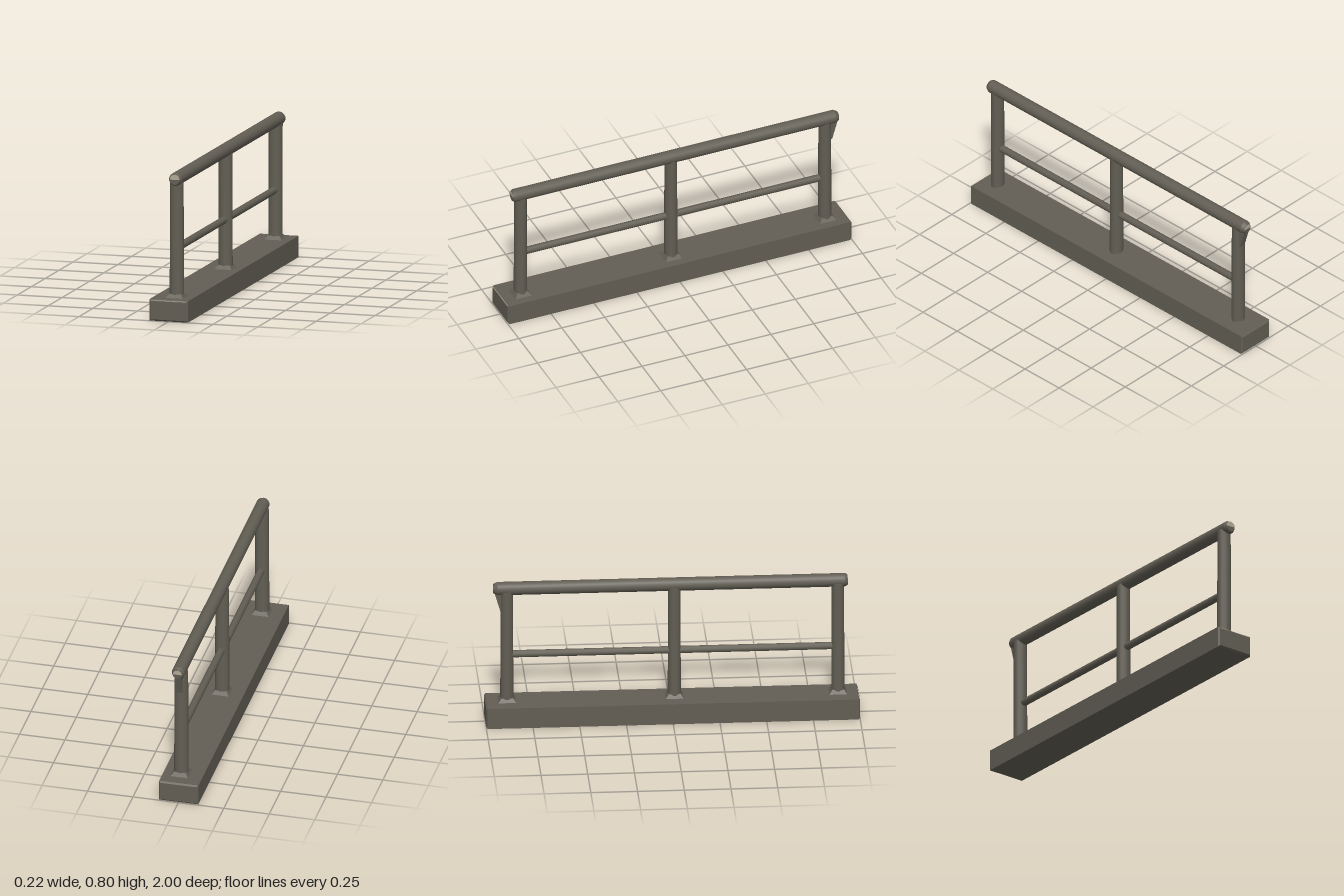
import * as THREE from 'three';

const paint = new THREE.MeshStandardMaterial({ color: 0x625e54 });
paint.name = 'dark olive grey paint';
const worn = new THREE.MeshStandardMaterial({ color: 0xb3aa97 });
worn.name = 'worn pale edge';

const POST_X = 0.013;
const RAIL_X = 0.017;
const RAIL_Y = 0.761;

function add(parent, name, geometry, material, x = 0, y = 0, z = 0) {
  const mesh = new THREE.Mesh(geometry, material);
  mesh.name = name;
  mesh.position.set(x, y, z);
  parent.add(mesh);
  return mesh;
}

// Solid of revolution lying along z, from [radius, z] pairs
function barAlongZ(points, sides) {
  const profile = points.map(([r, z]) => new THREE.Vector2(r, z));
  return new THREE.LatheGeometry(profile, sides).rotateX(Math.PI / 2);
}

// Long block with a small chamfer on every edge
function baseGeometry() {
  const w = 0.1, h = 0.05, b = 0.008;
  const shape = new THREE.Shape([
    new THREE.Vector2(-w, -h), new THREE.Vector2(w, -h),
    new THREE.Vector2(w, h), new THREE.Vector2(-w, h),
  ]);
  return new THREE.ExtrudeGeometry(shape, {
    depth: 2 - 2 * b, bevelEnabled: true, bevelThickness: b, bevelSize: b, bevelSegments: 1,
  }).translate(0, 0, -1 + b);
}

// Upright with a flared square foot
function makePost(name, z) {
  const post = new THREE.Group();
  post.name = name;
  post.position.set(POST_X, 0, z);
  const shaft = new THREE.CylinderGeometry(0.036, 0.038, 0.65, 14, 1).scale(1.02, 1, 0.93);
  add(post, 'shaft', shaft, paint, 0, 0.425, 0);
  const foot = new THREE.CylinderGeometry(0.046, 0.076, 0.028, 4, 1).rotateY(Math.PI / 4).toNonIndexed();
  foot.computeVertexNormals();
  add(post, 'flaredFoot', foot, paint, 0, 0.122, 0);
  return post;
}

export function createModel() {
  const model = new THREE.Group();
  model.name = 'guardRail';

  // Base kerb
  add(model, 'base', baseGeometry(), paint, 0, 0.058, 0);
  add(model, 'wornFrontEdge', new THREE.BoxGeometry(0.19, 0.011, 0.005), worn, 0, 0.107, 0.9955);
  add(model, 'wornSideEdge', new THREE.BoxGeometry(0.005, 0.005, 1.3), worn, -0.1035, 0.1125, -0.1);

  // Uprights
  model.add(makePost('frontPost', 0.888));
  model.add(makePost('middlePost', 0.013));
  model.add(makePost('backPost', -0.883));

  // Middle rail
  add(model, 'middleRail', barAlongZ([[0.02, -0.88], [0.02, 0.885]], 10), paint, POST_X, 0.382, 0);

  // Hand rail with chamfered ends
  const handRail = barAlongZ(
    [[0, -0.955], [0.025, -0.955], [0.025, -0.955], [0.036, -0.935], [0.036, -0.935],
      [0.036, 0.925], [0.036, 0.925], [0.028, 0.94], [0.028, 0.94], [0, 0.94]], 14);
  add(model, 'handRail', handRail, paint, RAIL_X, RAIL_Y, 0);

  // Worn upper halves of the rail ends
  const frontWear = new THREE.CircleGeometry(0.028, 10, 0, Math.PI);
  add(model, 'wornFrontRailEnd', frontWear, worn, RAIL_X, RAIL_Y, 0.941);
  const backWear = new THREE.CircleGeometry(0.025, 10, 0, Math.PI).rotateY(Math.PI);
  add(model, 'wornBackRailEnd', backWear, worn, RAIL_X, RAIL_Y, -0.956);

  // Tapered bracket under the back end of the hand rail
  const side = new THREE.Shape([
    new THREE.Vector2(0.9, 0.63), new THREE.Vector2(0.917, 0.63),
    new THREE.Vector2(0.95, 0.745), new THREE.Vector2(0.9, 0.745),
  ]);
  const bracket = new THREE.ExtrudeGeometry(side, { depth: 0.036, bevelEnabled: false })
    .translate(0, 0, -0.018).rotateY(Math.PI / 2);
  add(model, 'backBracket', bracket, paint, RAIL_X, 0, 0);

  return model;
}
